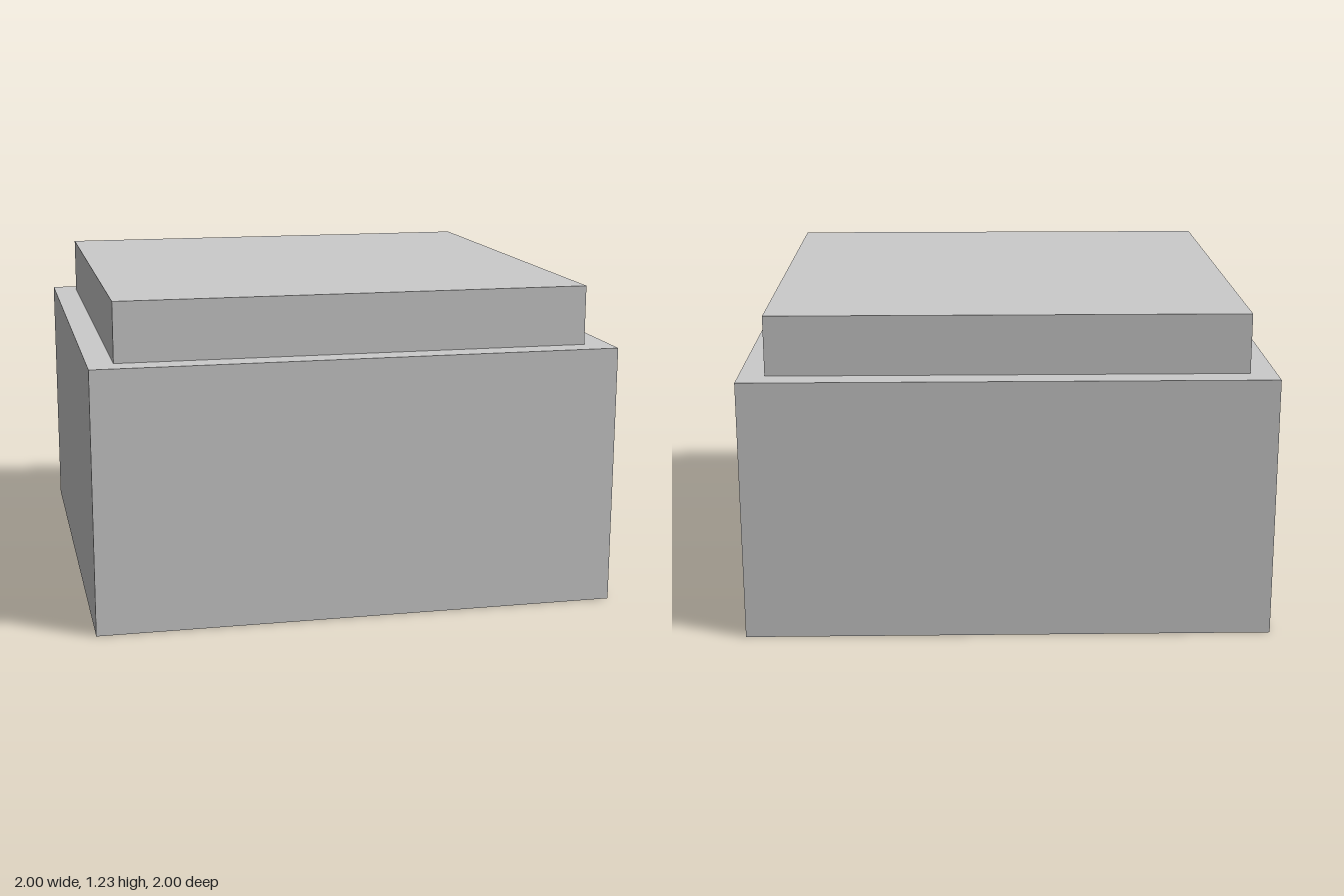
import * as THREE from 'three';

export function createModel() {
  const model = new THREE.Group();
  model.name = 'steppedBlock';
  const material = new THREE.MeshStandardMaterial({ color: 0xcccccc, flatShading: true });

  // Square slab resting on the given height
  const addSlab = (name, width, height, bottom) => {
    const slab = new THREE.Mesh(new THREE.BoxGeometry(width, height, width), material);
    slab.name = name;
    slab.position.y = bottom + height / 2;
    model.add(slab);
  };

  addSlab('base', 2, 1, 0);
  // Smaller raised top, inset evenly on all four sides
  addSlab('raisedTop', 1.804, 0.227, 1);

  return model;
}
